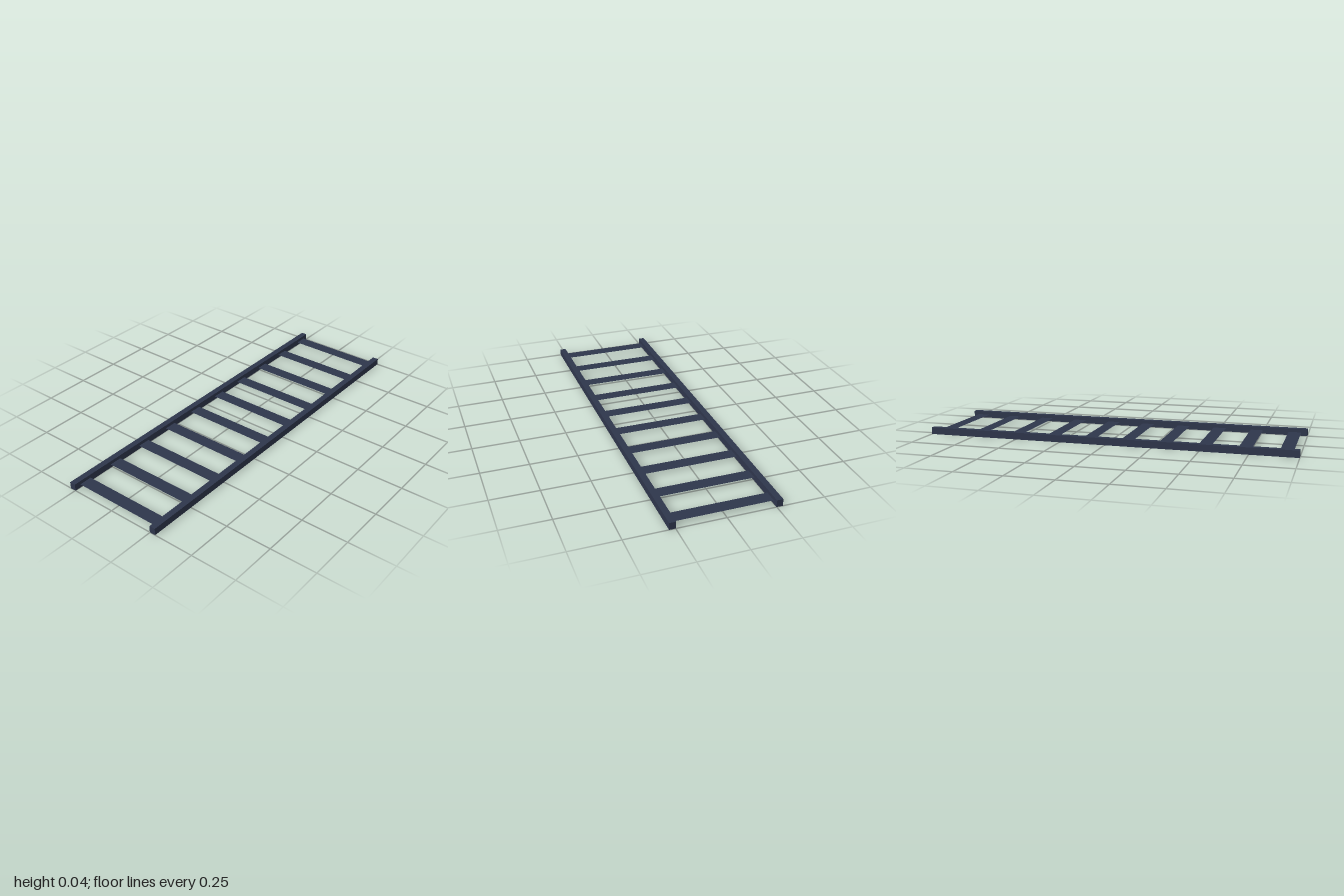
import * as THREE from 'three';

const RAIL_WIDTH = 0.033, RAIL_HEIGHT = 0.037, RAIL_X = 0.265;
const RUNG_COUNT = 10, RUNG_STEP = 0.2075, RUNG_DEPTH = 0.069;

export function createModel() {
  const ladder = new THREE.Group();
  ladder.name = 'ladder';

  const railMaterial = new THREE.MeshStandardMaterial({ color: 0x2e364c });
  const rungMaterial = new THREE.MeshStandardMaterial({ color: 0x2e364c, side: THREE.DoubleSide });

  // Two long side rails
  const railGeometry = new THREE.BoxGeometry(RAIL_WIDTH, RAIL_HEIGHT, 2);
  for (const side of [1, -1]) {
    const rail = new THREE.Mesh(railGeometry, railMaterial);
    rail.name = side > 0 ? 'leftRail' : 'rightRail';
    rail.position.set(side * RAIL_X, RAIL_HEIGHT / 2, 0);
    ladder.add(rail);
  }

  // Flat, paper-thin rungs spanning the gap between the rails
  const rungGeometry = new THREE.PlaneGeometry(2 * RAIL_X - RAIL_WIDTH, RUNG_DEPTH).rotateX(-Math.PI / 2);
  for (let i = 0; i < RUNG_COUNT; i++) {
    const rung = new THREE.Mesh(rungGeometry, rungMaterial);
    rung.name = `rung${i + 1}`;
    rung.position.set(0, RAIL_HEIGHT / 2, (i - (RUNG_COUNT - 1) / 2) * RUNG_STEP - 0.002);
    ladder.add(rung);
  }

  return ladder;
}
